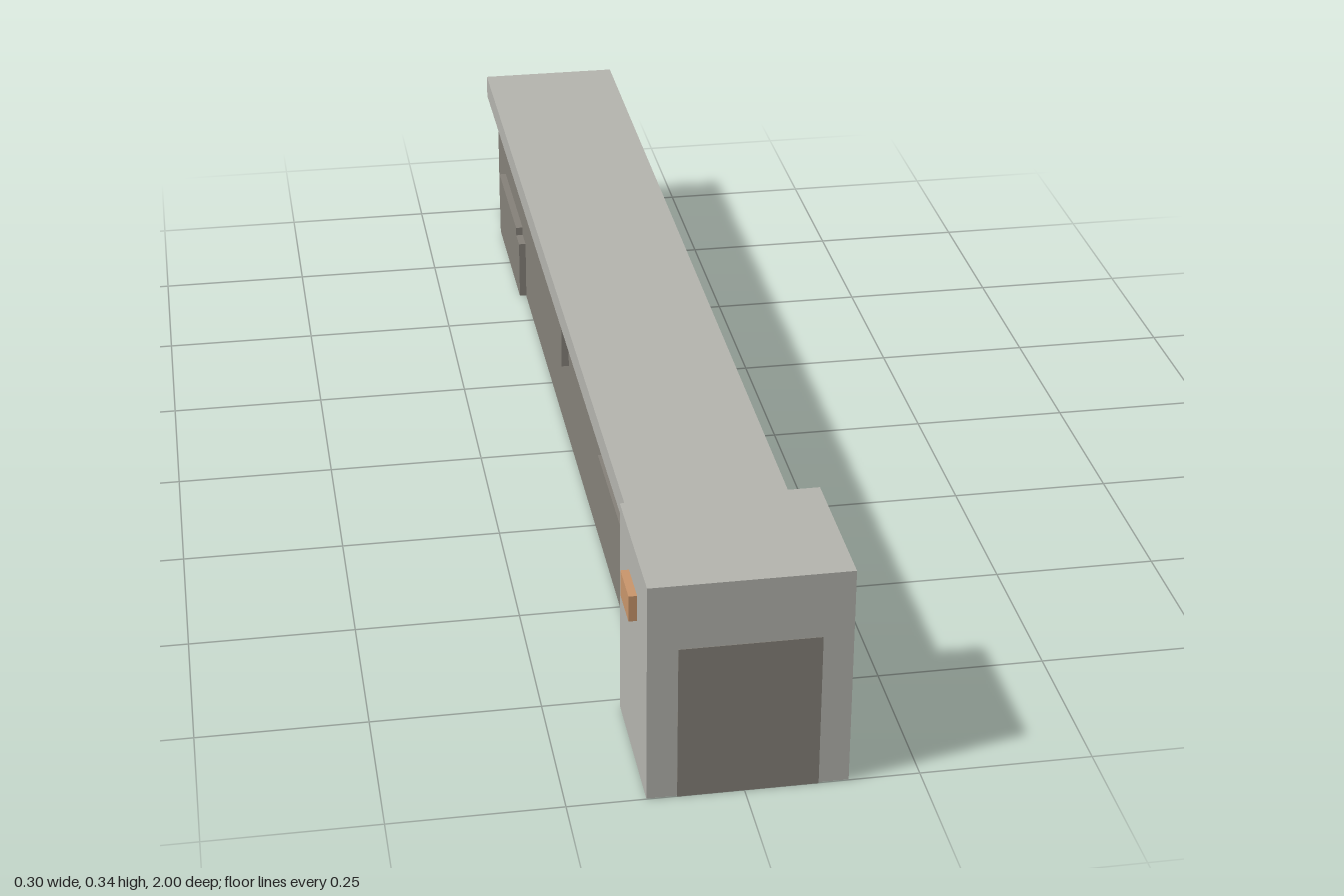
import * as THREE from 'three';

const material = (name, color) => new THREE.MeshStandardMaterial({ name, color });

export function createModel() {
  const group = new THREE.Group();
  const paleStone = material('pale stone', 0xb4b4ae);
  const darkStone = material('dark stone', 0x858179);
  const bronze = material('bronze', 0xc8956b);

  // Box given by its limits on each axis
  function box(name, mat, [x0, x1], [y0, y1], [z0, z1]) {
    const mesh = new THREE.Mesh(new THREE.BoxGeometry(x1 - x0, y1 - y0, z1 - z0), mat);
    mesh.position.set((x0 + x1) / 2, (y0 + y1) / 2, (z0 + z1) / 2);
    mesh.name = name;
    group.add(mesh);
  }

  // Wall runs through the pier and shows on its front
  box('wall', darkStone, [-0.095, 0.105], [0, 0.24], [-1, 1.001]);
  box('coping', paleStone, [-0.115, 0.125], [0.24, 0.28], [-1, 0.78]);
  box('endPier', paleStone, [-0.138, 0.148], [0.001, 0.34], [0.77, 1]);
  box('plaque', bronze, [-0.15, -0.138], [0.24, 0.28], [0.85, 0.92]);

  // Raised stone patches on the -x face, outlined as (z, y) points
  const patches = {
    lowPatch: [[-0.89, 0.002], [-0.6, 0.002], [-0.6, 0.107], [-0.64, 0.107], [-0.64, 0.122], [-0.89, 0.122]],
    middlePatch: [[-0.35, 0.14], [-0.04, 0.14], [-0.04, 0.22], [-0.35, 0.22]],
    steppedPatch: [[0.42, 0.05], [0.7, 0.05], [0.7, 0.13], [0.67, 0.13], [0.67, 0.19],
      [0.36, 0.19], [0.36, 0.12], [0.42, 0.12]],
  };
  for (const [name, outline] of Object.entries(patches)) {
    const shape = new THREE.Shape(outline.map(([z, y]) => new THREE.Vector2(z, y)));
    const geometry = new THREE.ExtrudeGeometry(shape, { depth: 0.012, bevelEnabled: false });
    geometry.rotateY(-Math.PI / 2);
    const mesh = new THREE.Mesh(geometry, darkStone);
    mesh.position.x = -0.095;
    mesh.name = name;
    group.add(mesh);
  }
  return group;
}
